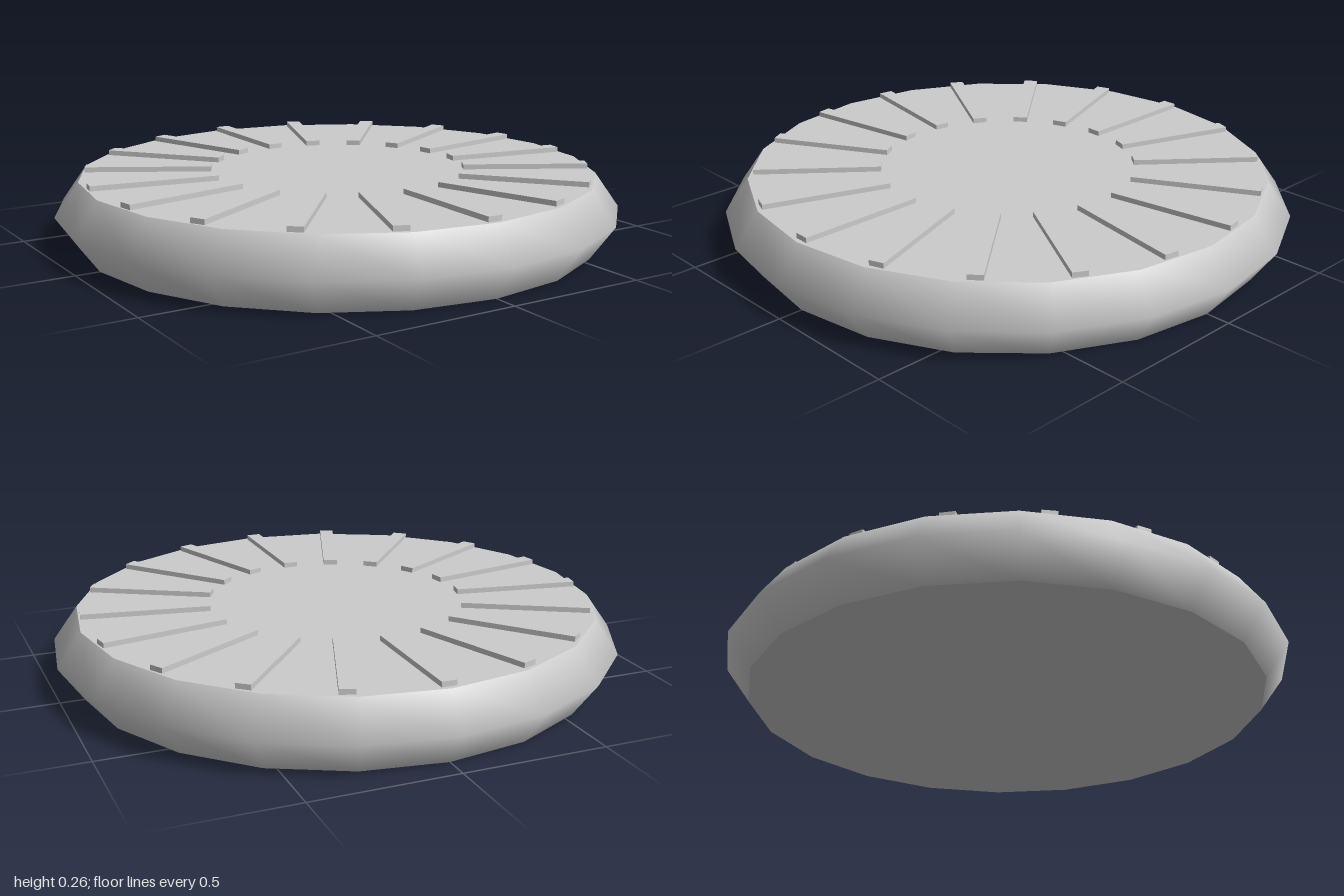
import * as THREE from 'three';

const SIDES = 20, RIBS = 18;
const HEIGHT = 0.24, FACE_RADIUS = 0.915;
const RIB = { inner: 0.45, outer: 0.897, width: 0.052, rise: 0.018, sink: 0.01 };

export function createModel() {
  const group = new THREE.Group();
  const material = new THREE.MeshStandardMaterial({ color: 0xcccccc });

  function add(name, geometry, parent = group) {
    const mesh = new THREE.Mesh(geometry, material);
    mesh.name = name;
    parent.add(mesh);
    return mesh;
  }

  // Smooth rim that bulges at half height
  const profile = [[FACE_RADIUS, 0], [1, HEIGHT / 2], [FACE_RADIUS, HEIGHT]]
    .map(([r, y]) => new THREE.Vector2(r, y));
  add('rim', new THREE.LatheGeometry(profile, SIDES));

  // Flat top and bottom faces
  const disc = new THREE.CircleGeometry(FACE_RADIUS, SIDES);
  const top = add('topFace', disc);
  top.rotation.x = -Math.PI / 2;
  top.position.y = HEIGHT;
  add('bottomFace', disc).rotation.x = Math.PI / 2;

  // Ring of raised radial ribs, slightly sunk into the top
  const ribs = new THREE.Group();
  ribs.name = 'ribs';
  group.add(ribs);
  const ribGeometry = new THREE.BoxGeometry(RIB.width, RIB.rise + RIB.sink, RIB.outer - RIB.inner);
  ribGeometry.translate(0, HEIGHT + (RIB.rise - RIB.sink) / 2, (RIB.inner + RIB.outer) / 2);
  for (let i = 0; i < RIBS; i++) {
    add('rib', ribGeometry, ribs).rotation.y = (i / RIBS) * Math.PI * 2;
  }

  return group;
}
